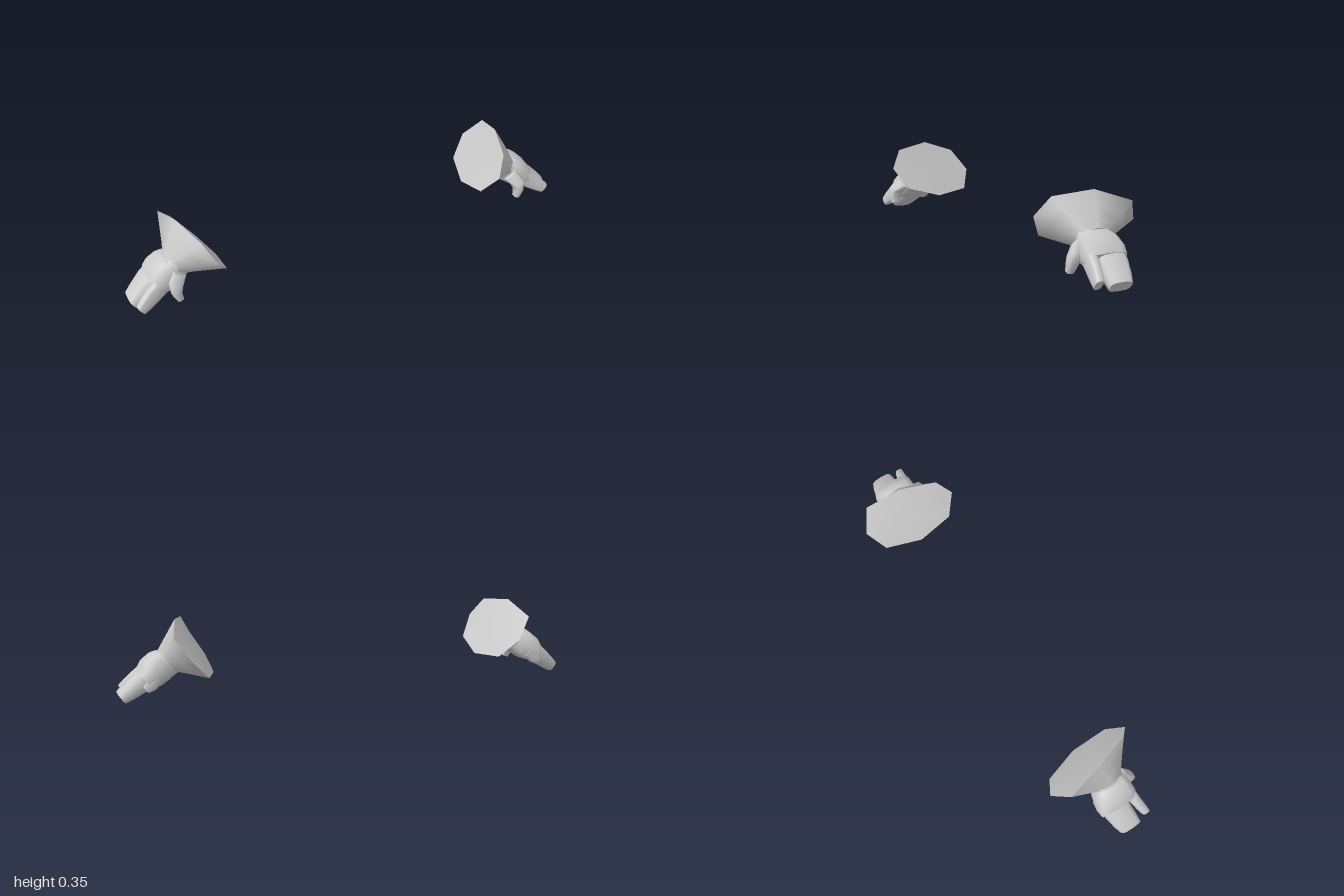
import * as THREE from 'three';

const ARM = -0.657; // slope of the forearm axis in the xy plane

// Rounded-box cross-section across an axis heading at `angle` in the xy plane
function section(x, y, z, halfN, halfZ, angle = ARM, sides = 12, power = 0.65) {
  const soft = (v) => Math.sign(v) * Math.pow(Math.abs(v), power);
  return Array.from({ length: sides }, (_, i) => {
    const t = (i / sides) * Math.PI * 2;
    const n = halfN * soft(Math.cos(t));
    return [x - n * Math.sin(angle), y + n * Math.cos(angle), z + halfZ * soft(Math.sin(t))];
  });
}

// Smooth skin through the rings, with sharp-edged end caps; side = -1 mirrors it
function loft(name, rings, side, startBulge = 0) {
  const pos = [], index = [], n = rings[0].length;
  const tri = (a, b, c) => (side > 0 ? index.push(a, b, c) : index.push(a, c, b));
  const add = (p) => pos.push(p[0] * side, p[1], p[2]) / 3 - 1;
  rings.forEach((ring) => ring.forEach(add));
  for (let r = 0; r < rings.length - 1; r++) {
    for (let i = 0; i < n; i++) {
      const j = (i + 1) % n, a = r * n, b = a + n;
      tri(a + i, a + j, b + i);
      tri(a + j, b + j, b + i);
    }
  }
  [rings[0], rings[rings.length - 1]].forEach((ring, end) => {
    const mid = [0, 1, 2].map((k) => ring.reduce((s, p) => s + p[k], 0) / n);
    if (!end) {
      mid[0] -= Math.cos(ARM) * startBulge;
      mid[1] -= Math.sin(ARM) * startBulge;
    }
    const first = pos.length / 3;
    ring.forEach(add);
    const c = add(mid);
    for (let i = 0; i < n; i++) {
      const a = first + i, b = first + ((i + 1) % n);
      if (end) tri(a, b, c);
      else tri(b, a, c);
    }
  });
  const geo = new THREE.BufferGeometry();
  geo.setAttribute('position', new THREE.Float32BufferAttribute(pos, 3));
  geo.setIndex(index);
  geo.computeVertexNormals();
  const mesh = new THREE.Mesh(geo, new THREE.MeshStandardMaterial({ color: 0xcccccc }));
  mesh.name = name;
  return mesh;
}

function glove(side) {
  const g = new THREE.Group();
  g.name = side > 0 ? 'leftGlove' : 'rightGlove';

  // Flared octagonal cuff, closed at its mouth
  const mouth = [
    [0.75, 0.347, 0], [0.7, 0.325, 0.158], [0.655, 0.245, 0.21], [0.6, 0.155, 0.155],
    [0.592, 0.11, 0], [0.64, 0.125, -0.157], [0.714, 0.205, -0.208], [0.78, 0.295, -0.155],
  ];
  const neck = section(0.785, 0.165, 0.025, 0.06, 0.08, ARM, 8, 1);
  const blend = (t, pinch) => mouth.map((p, i) => p.map((v, k) => {
    const w = t + pinch * (k === 2 ? 1 : 0.5);
    return v + (neck[i][k] - v) * w;
  }));
  g.add(loft('cuff', [mouth, blend(0.4, 0.04), blend(0.75, 0.07), neck], side, 0.012));

  // Palm with a raised band over the knuckles
  g.add(loft('wrist', [
    section(0.76, 0.175, 0.03, 0.056, 0.07),
    section(0.815, 0.143, 0.03, 0.06, 0.08),
  ], side));
  g.add(loft('palm', [
    section(0.79, 0.163, 0.03, 0.056, 0.075),
    section(0.815, 0.147, 0.028, 0.064, 0.085),
    section(0.852, 0.12, 0.027, 0.061, 0.092),
    section(0.88, 0.099, 0.027, 0.045, 0.09),
  ], side));

  // Joined fingers and the separate index finger
  g.add(loft('joinedFingers', [
    section(0.865, 0.111, 0.007, 0.042, 0.062),
    section(0.9, 0.084, 0.01, 0.041, 0.061),
    section(0.95, 0.045, 0.02, 0.033, 0.056),
    section(0.979, 0.023, 0.027, 0.027, 0.05),
  ], side));
  g.add(loft('indexFinger', [
    section(0.865, 0.111, 0.091, 0.04, 0.023),
    section(0.9, 0.083, 0.096, 0.038, 0.023),
    section(0.94, 0.053, 0.107, 0.031, 0.021),
    section(0.965, 0.034, 0.114, 0.024, 0.018),
  ], side));

  // Thumb hooking down at the front
  g.add(loft('thumb', [
    section(0.785, 0.155, 0.085, 0.035, 0.032, -0.9),
    section(0.812, 0.12, 0.118, 0.03, 0.032, -1.15),
    section(0.815, 0.088, 0.133, 0.022, 0.024, -1.6),
    section(0.803, 0.053, 0.138, 0.015, 0.016, -1.9),
  ], side));

  // Small pad under the outer edge of the palm
  g.add(loft('palmPad', [
    section(0.835, 0.115, -0.038, 0.035, 0.024),
    section(0.865, 0.083, -0.041, 0.028, 0.021),
    section(0.885, 0.066, -0.043, 0.018, 0.014),
  ], side));
  return g;
}

export function createModel() {
  const model = new THREE.Group();
  model.name = 'glovePair';
  for (const side of [1, -1]) model.add(glove(side));
  return model;
}
